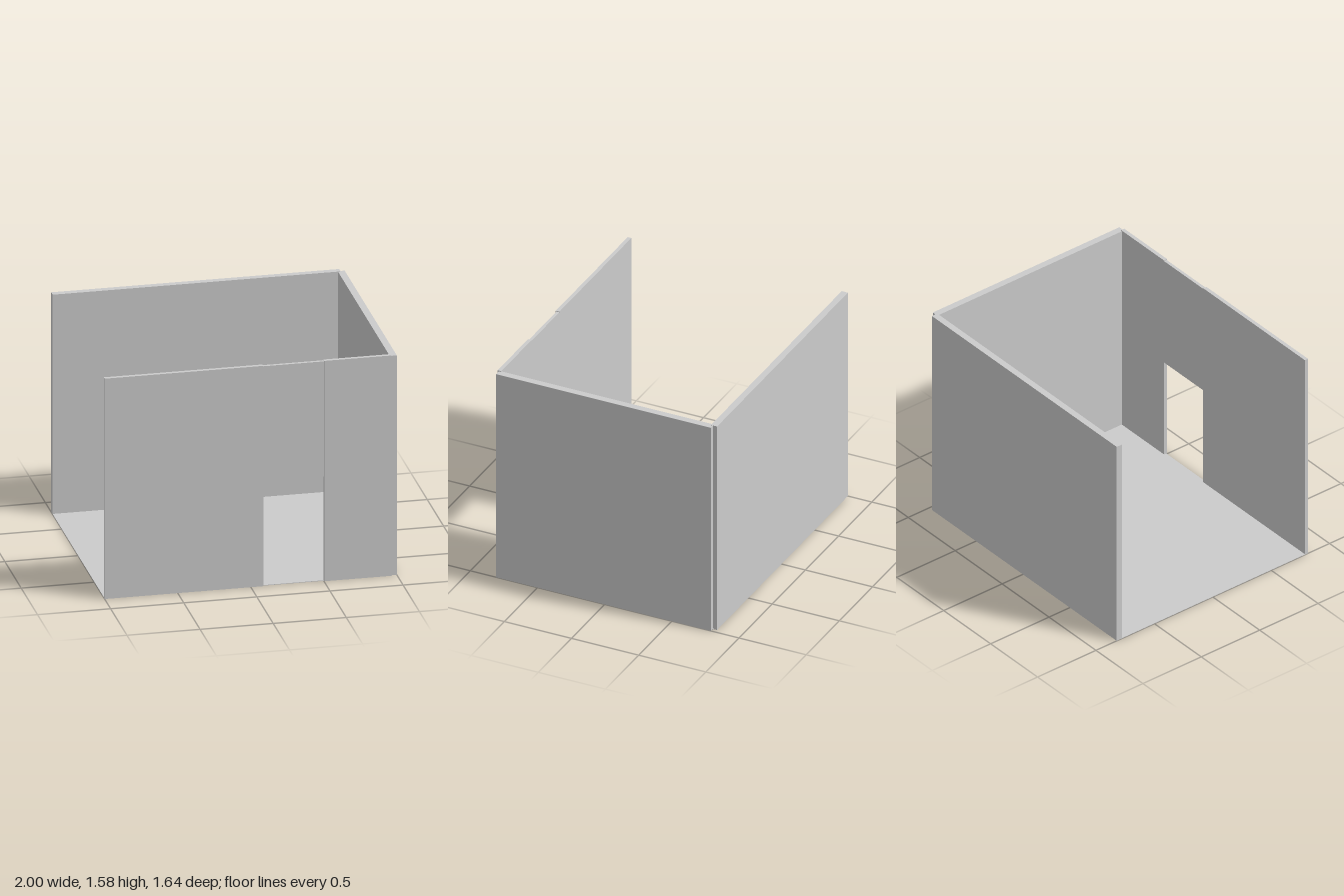
import * as THREE from 'three';

const material = new THREE.MeshStandardMaterial({ color: 0xcccccc, flatShading: true });

// Box given by its lower and upper corners
function slab(name, [x0, y0, z0], [x1, y1, z1]) {
  const geometry = new THREE.BoxGeometry(x1 - x0, y1 - y0, z1 - z0);
  geometry.translate((x0 + x1) / 2, (y0 + y1) / 2, (z0 + z1) / 2);
  const mesh = new THREE.Mesh(geometry, material);
  mesh.name = name;
  return mesh;
}

export function createModel() {
  const room = new THREE.Group();
  room.name = 'room';

  // Thin floor, reaching under the walls
  room.add(slab('floor', [-1, 0, -0.8], [0.98, 0.004, 0.808]));

  // Back and side walls, stepped slightly at their shared corner; the -x side is open
  room.add(slab('backWall', [-1, 0, -0.822], [0.97, 1.574, -0.776]));
  room.add(slab('sideWall', [0.952, 0, -0.79], [1, 1.572, 0.808]));

  // Front wall: two panels and a slightly recessed lintel over the doorway
  const frontWall = new THREE.Group();
  frontWall.name = 'frontWall';
  frontWall.add(
    slab('frontPanelWide', [-1, 0, 0.79], [0.085, 1.578, 0.817]),
    slab('frontPanelNarrow', [0.502, 0, 0.79], [0.96, 1.578, 0.817]),
    slab('doorLintel', [0.085, 0.75, 0.79], [0.502, 1.573, 0.812])
  );
  room.add(frontWall);

  return room;
}
